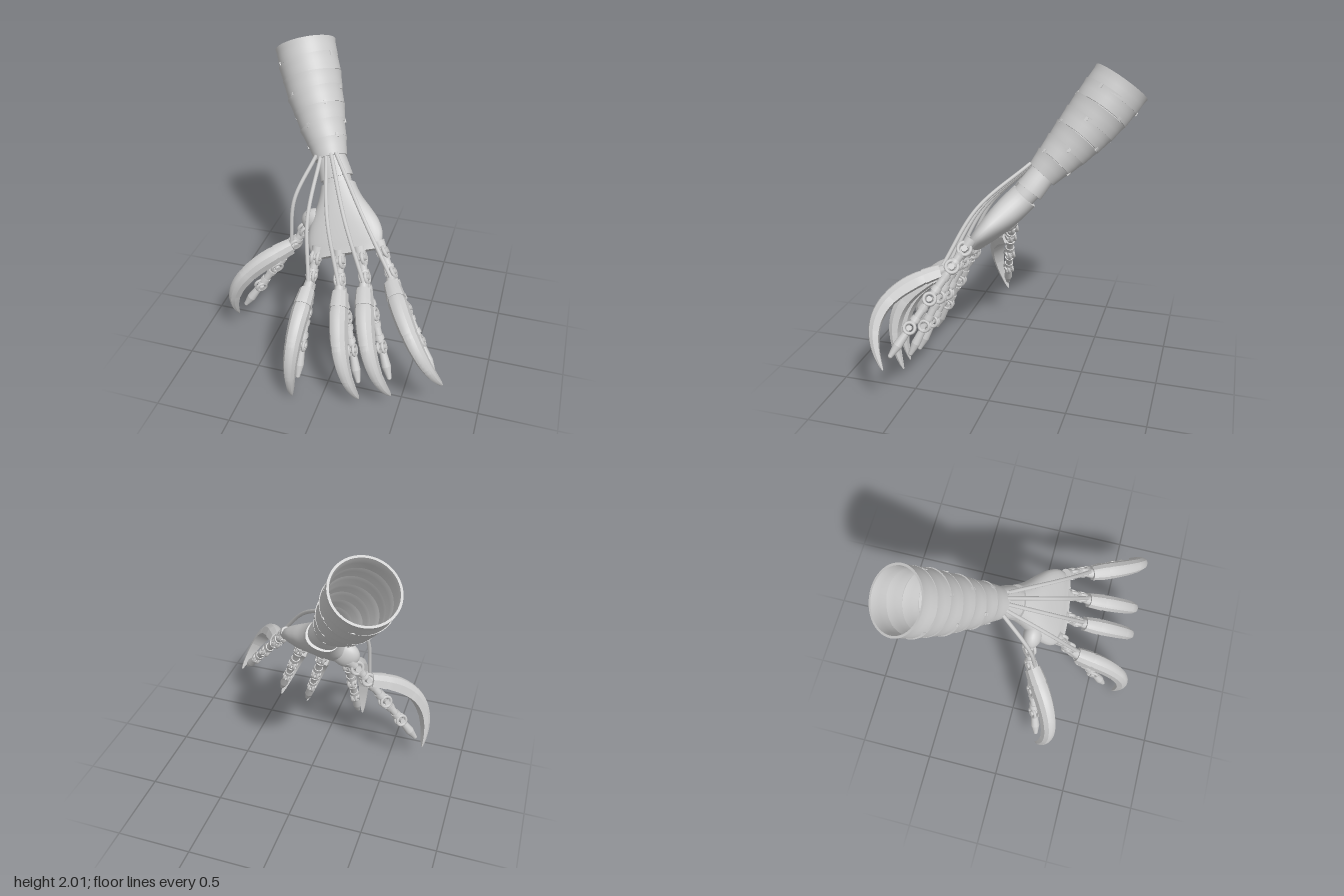
import * as THREE from 'three';
import { toCreasedNormals } from 'three/addons/utils/BufferGeometryUtils.js';

const V = (x, y, z) => new THREE.Vector3(x, y, z);
const mat = new THREE.MeshStandardMaterial({ color: 0xcccccc, side: THREE.DoubleSide });
const UP = V(0, 1, 0);

function add(parent, geo, name) {
  const m = new THREE.Mesh(geo, mat);
  m.name = name;
  parent.add(m);
  return m;
}

// Skin over rings of points, with both ends capped
function loft(rings, crease) {
  const n = rings[0].length, pos = [], idx = [];
  rings.forEach((r) => r.forEach((p) => pos.push(p.x, p.y, p.z)));
  for (let i = 0; i < rings.length - 1; i++)
    for (let j = 0; j < n; j++) {
      const a = i * n + j, b = i * n + (j + 1) % n;
      idx.push(a, a + n, b, b, a + n, b + n);
    }
  const e = (rings.length - 1) * n;
  for (let j = 1; j < n - 1; j++) idx.push(0, j, j + 1, e, e + j + 1, e + j);
  const g = new THREE.BufferGeometry();
  g.setAttribute('position', new THREE.Float32BufferAttribute(pos, 3));
  g.setIndex(idx);
  return toCreasedNormals(g, crease);
}

// Ring of a 2D section placed at c, across direction T, with width axis L
const place = (section, c, T, L, w, h) => {
  const N = L.clone().cross(T).normalize();
  return section.map((p) => c.clone().addScaledVector(L, p.x * w).addScaledVector(N, p.y * h));
};

// Tapered cylinder from a to b
function rod(parent, a, b, r0, r1, name, sides = 12) {
  const d = b.clone().sub(a);
  const m = add(parent, new THREE.CylinderGeometry(r1, r0, d.length(), sides), name);
  m.position.copy(a).add(b).multiplyScalar(0.5);
  m.quaternion.setFromUnitVectors(UP, d.normalize());
}

// Hinge: two rings either side of a pin, axis along L
function hinge(parent, p, L, r) {
  const along = (s) => p.clone().addScaledVector(L, s * r);
  for (const s of [-1, 1]) {
    const ring = add(parent, new THREE.TorusGeometry(r, r * 0.3, 8, 18), 'jointRing');
    ring.position.copy(along(s * 0.45));
    ring.quaternion.setFromUnitVectors(V(0, 0, 1), L);
  }
  rod(parent, along(-0.95), along(0.95), r * 0.5, r * 0.5, 'jointPin');
}

// Faceted claw section: one half, mirrored
const half = [[1, -0.75], [1, 0.15], [0.6, 0.72], [0.22, 0.85]].map(([x, y]) => new THREE.Vector2(x, y));
const mirrored = half.map((p) => new THREE.Vector2(-p.x, p.y)).reverse();
const clawSection = [...half, ...mirrored];
const clawWidth = (t) => 0.004 + 0.052 * (1 - t ** 1.8) ** 0.7 * (0.78 + 0.22 * Math.min(1, t * 6));
const clawHeight = (t) => 0.005 + 0.058 * (1 - t ** 2.2) ** 0.75 * (0.75 + 0.25 * Math.min(1, t * 4));

function finger(parent, name, base, joint, tip, clawBase, clawMid, clawTip) {
  const g = new THREE.Group();
  g.name = name;
  parent.add(g);
  const L = clawTip.clone().sub(clawBase).cross(clawMid.clone().sub(clawBase)).normalize();

  // Inner jointed finger
  const P = [base, joint, joint.clone().lerp(tip, 0.36), joint.clone().lerp(tip, 0.68), tip];
  for (let i = 0; i < 4; i++) {
    const at = (t) => P[i].clone().lerp(P[i + 1], t);
    const r = 0.04 - i * 0.002;
    hinge(g, P[i], L, r);
    if (i < 3) {
      rod(g, at(0.15), at(0.85), r * 0.7, r * 0.66, 'fingerBone');
      rod(g, at(0.24), at(0.38), r * 0.92, r * 0.85, 'boneCollar', 10);
      rod(g, at(0.62), at(0.76), r * 0.85, r * 0.92, 'boneCollar', 10);
    } else {
      rod(g, at(0.15), at(0.6), r * 0.7, r * 0.88, 'fingertip');
      rod(g, at(0.6), at(0.95), r * 0.88, r * 0.45, 'fingertip');
      add(g, new THREE.SphereGeometry(r * 0.46, 12, 8), 'fingertip').position.copy(at(0.95));
    }
  }

  // Curved claw of overlapping plates, passing through clawMid
  const control = clawMid.clone().multiplyScalar(2).addScaledVector(clawBase, -0.5).addScaledVector(clawTip, -0.5);
  const curve = new THREE.QuadraticBezierCurve3(clawBase, control, clawTip);
  const cuts = [0, 0.13, 0.42, 0.7, 1];
  for (let k = 0; k < 4; k++) {
    const rings = [];
    for (let i = 0; i <= 8; i++) {
      const t = THREE.MathUtils.lerp(cuts[k], cuts[k + 1], i / 8);
      const f = k === 0 ? 1.06 : i === 0 ? 0.95 : 1;
      rings.push(place(clawSection, curve.getPointAt(t), curve.getTangentAt(t), L, clawWidth(t) * f, clawHeight(t) * f));
    }
    add(g, loft(rings, 0.4), 'clawPlate');
  }

  // Mount holding the claw to the first joint, and socket behind the hinge
  rod(g, joint, clawBase, 0.026, 0.034, 'clawMount', 8);
  const back = base.clone().sub(joint).normalize();
  rod(g, base.clone().addScaledVector(back, 0.075), base.clone().addScaledVector(back, 0.02), 0.04, 0.034, 'knuckleMount', 14);
}

// Tendon cable bowing over the back of the hand, i counted from the thumb
function cable(parent, i, joint, clawBase) {
  const start = V(-0.25 + 0.0325 * i, 1.37 + 0.01 * i, -0.1);
  const end = joint.clone().lerp(clawBase, 0.5).add(V(0, 0.025, 0.02));
  const mid = start.clone().lerp(end, 0.5).add(V(-0.04 + 0.014 * i, 0.03, 0.065));
  const path = new THREE.CatmullRomCurve3([start, mid, end]);
  add(parent, new THREE.TubeGeometry(path, 32, 0.013, 8), 'tendonCable');
}

// Rounded body from a to b, with [half width, half thickness] stations
function body(parent, a, b, stations, steps, name) {
  const sizes = new THREE.SplineCurve(stations.map(([w, h]) => new THREE.Vector2(w, h)));
  const oval = Array.from({ length: 32 }, (_, i) => {
    const t = i / 16 * Math.PI, c = Math.cos(t), s = Math.sin(t);
    return new THREE.Vector2(Math.sign(c) * Math.abs(c) ** 0.85, Math.sign(s) * Math.abs(s) ** 0.85);
  });
  const T = b.clone().sub(a).normalize(), L = V(-0.97, -0.22, 0.03);
  L.addScaledVector(T, -L.dot(T)).normalize();
  const rings = [];
  for (let i = 0; i <= steps; i++) {
    const s = sizes.getPoint(i / steps);
    rings.push(place(oval, a.clone().lerp(b, i / steps), T, L, s.x, s.y));
  }
  add(parent, loft(rings, 0.8), name);
}

// Forearm sleeve: overlapping hollow bands along a gently bent axis
function forearmSleeve(parent, low, bend, high) {
  const sleeve = new THREE.Group();
  sleeve.name = 'forearmSleeve';
  parent.add(sleeve);
  const axis = new THREE.QuadraticBezierCurve3(low, bend, high);
  const bands = 7, h = axis.getLength() / bands;
  const radius = (t) => 0.105 + 0.092 * Math.sin(Math.min(1, t * 1.08) * Math.PI / 2);
  for (let i = 0; i < bands; i++) {
    const band = new THREE.Group();
    band.name = 'sleeveBand';
    sleeve.add(band);
    band.position.copy(axis.getPointAt((i + 0.5) / bands));
    band.quaternion.setFromUnitVectors(UP, axis.getTangentAt((i + (i === bands - 1 ? 1 : 0.5)) / bands));
    if (i < bands - 1) band.rotateX(0.05).rotateZ(i % 2 ? 0.04 : -0.04);
    const outer = [], inner = [];
    for (let k = 0; k <= 4; k++) {
      const r = radius((i + k / 4) / bands) + (k === 4 ? 0.004 : 0), y = (k / 4 - 0.5) * h * 1.04;
      outer.push(new THREE.Vector2(r, y));
      inner.unshift(new THREE.Vector2(r - 0.014, y));
    }
    const profile = [...outer, ...inner, outer[0]];
    add(band, toCreasedNormals(new THREE.LatheGeometry(profile, 48), 0.5), 'bandShell');
    // Small clips across each seam
    for (let c = 0; c < 3 && i > 0; c++) {
      const a = c * Math.PI * 2 / 3 + i * 0.9, r = radius(i / bands);
      const clip = add(band, new THREE.BoxGeometry(0.018, 0.028, 0.012), 'sleeveClip');
      clip.position.set(Math.sin(a) * r, -h / 2, Math.cos(a) * r);
      clip.rotation.y = a;
    }
  }
}

export function createModel() {
  const model = new THREE.Group();
  forearmSleeve(model, V(-0.17, 1.33, -0.16), V(-0.355, 1.605, -0.425), V(-0.48, 1.89, -0.605));

  // Wrist and palm
  body(model, V(-0.18, 1.35, -0.18), V(-0.112, 1.226, -0.094), [[0.09, 0.085], [0.106, 0.093]], 6, 'wristCuff');
  body(model, V(-0.12, 1.24, -0.1), V(-0.08, 1.17, -0.04), [[0.092, 0.078], [0.092, 0.078]], 2, 'wristCore');
  body(model, V(-0.095, 1.195, -0.067), V(0.05, 0.88, 0.225),
    [[0.112, 0.095], [0.142, 0.096], [0.192, 0.092], [0.236, 0.08], [0.25, 0.064], [0.225, 0.045]], 30, 'palm');
  const mound = add(model, new THREE.SphereGeometry(1, 24, 16), 'thumbMound');
  mound.position.set(-0.205, 0.985, 0.075);
  mound.scale.set(0.095, 0.09, 0.062);

  // Digits: base, first joint, fingertip, then claw start, middle and tip
  const digits = {
    thumb: [V(-0.28, 0.9, 0.07), V(-0.35, 0.8, 0.1), V(-0.69, 0.28, 0.22), V(-0.37, 0.79, 0.12), V(-0.67, 0.56, 0.305), V(-0.74, 0.2, 0.23)],
    indexFinger: [V(-0.15, 0.83, 0.25), V(-0.16, 0.73, 0.31), V(-0.175, 0.1, 0.61), V(-0.17, 0.66, 0.38), V(-0.175, 0.41, 0.7), V(-0.19, 0.01, 0.69)],
    middleFinger: [V(0.01, 0.84, 0.26), V(0.03, 0.74, 0.32), V(0.23, 0.14, 0.58), V(0.045, 0.69, 0.38), V(0.14, 0.42, 0.68), V(0.25, 0.06, 0.64)],
    ringFinger: [V(0.15, 0.89, 0.25), V(0.19, 0.79, 0.31), V(0.43, 0.21, 0.56), V(0.2, 0.74, 0.37), V(0.32, 0.47, 0.67), V(0.45, 0.11, 0.6)],
    littleFinger: [V(0.28, 0.94, 0.22), V(0.35, 0.84, 0.28), V(0.71, 0.35, 0.57), V(0.37, 0.81, 0.35), V(0.6, 0.61, 0.66), V(0.77, 0.29, 0.59)],
  };
  Object.entries(digits).forEach(([name, points], i) => {
    finger(model, name, ...points);
    cable(model, i, points[1], points[3]);
  });
  return model;
}
